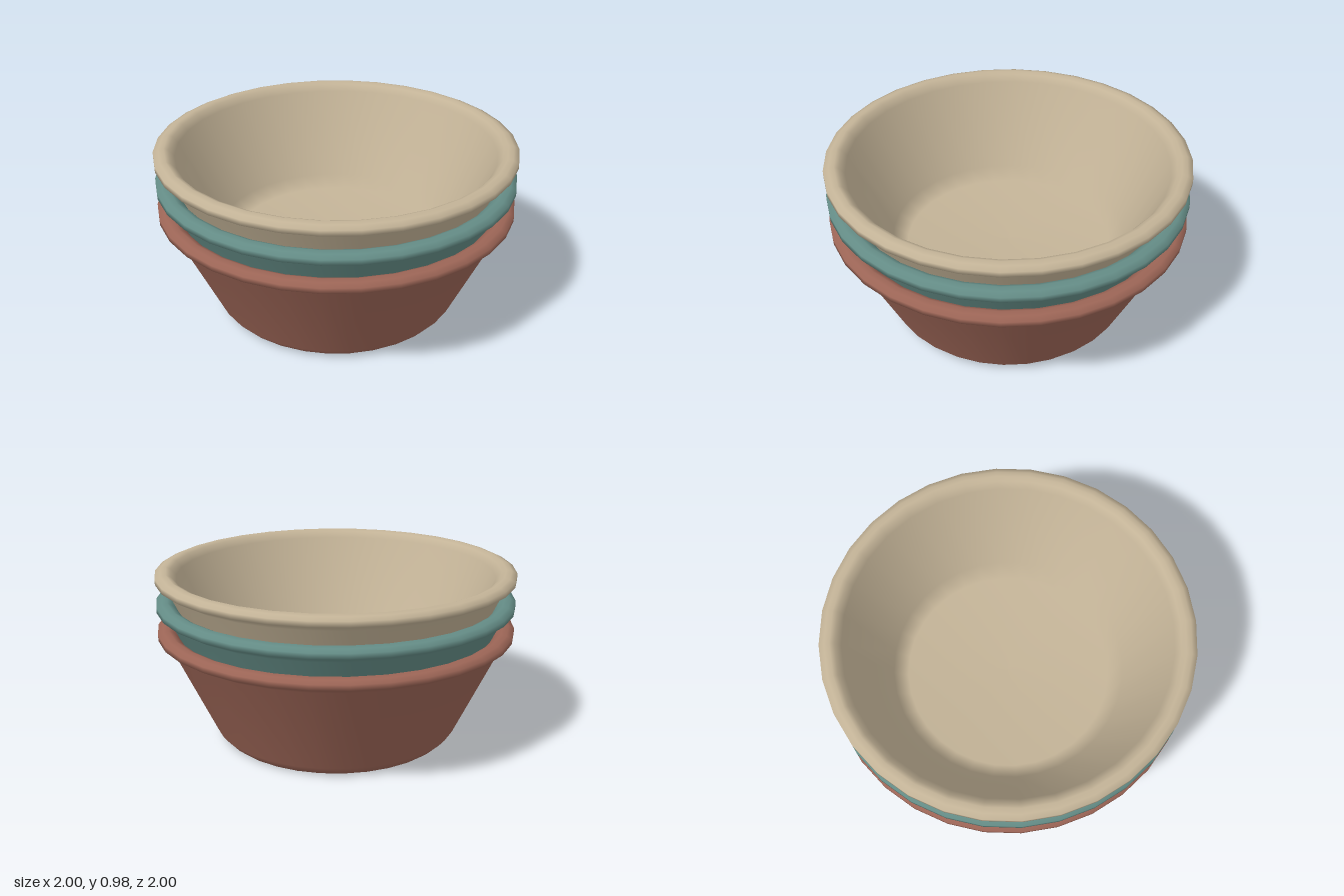
import * as THREE from 'three';

// One bowl's cross-section [radius, height]: underside, outer wall, rolled rim, inner wall, floor
const PROFILE = [
  [0, 0], [0.64, 0], [0.665, 0.02], [0.695, 0.055], [0.94, 0.576],
  [1, 0.611], [1, 0.641], [0.97, 0.655], [0.94, 0.661], [0.915, 0.65], [0.885, 0.615],
  [0.66, 0.14], [0.58, 0.08], [0, 0.07],
].map(([r, y]) => new THREE.Vector2(r, y));

const STACK_STEP = 0.157;

const BOWLS = [
  ['bottomBowl', 'terracotta', 0x9c6556],
  ['middleBowl', 'teal', 0x648c86],
  ['topBowl', 'sand', 0xc3b397],
];

export function createModel() {
  const group = new THREE.Group();
  group.name = 'stackedBowls';
  const geometry = new THREE.LatheGeometry(PROFILE, 32);

  // Three identical bowls nested in one another
  BOWLS.forEach(([name, colourName, color], i) => {
    const material = new THREE.MeshStandardMaterial({ color });
    material.name = colourName;
    const bowl = new THREE.Mesh(geometry, material);
    bowl.name = name;
    bowl.position.y = i * STACK_STEP;
    group.add(bowl);
  });
  return group;
}
